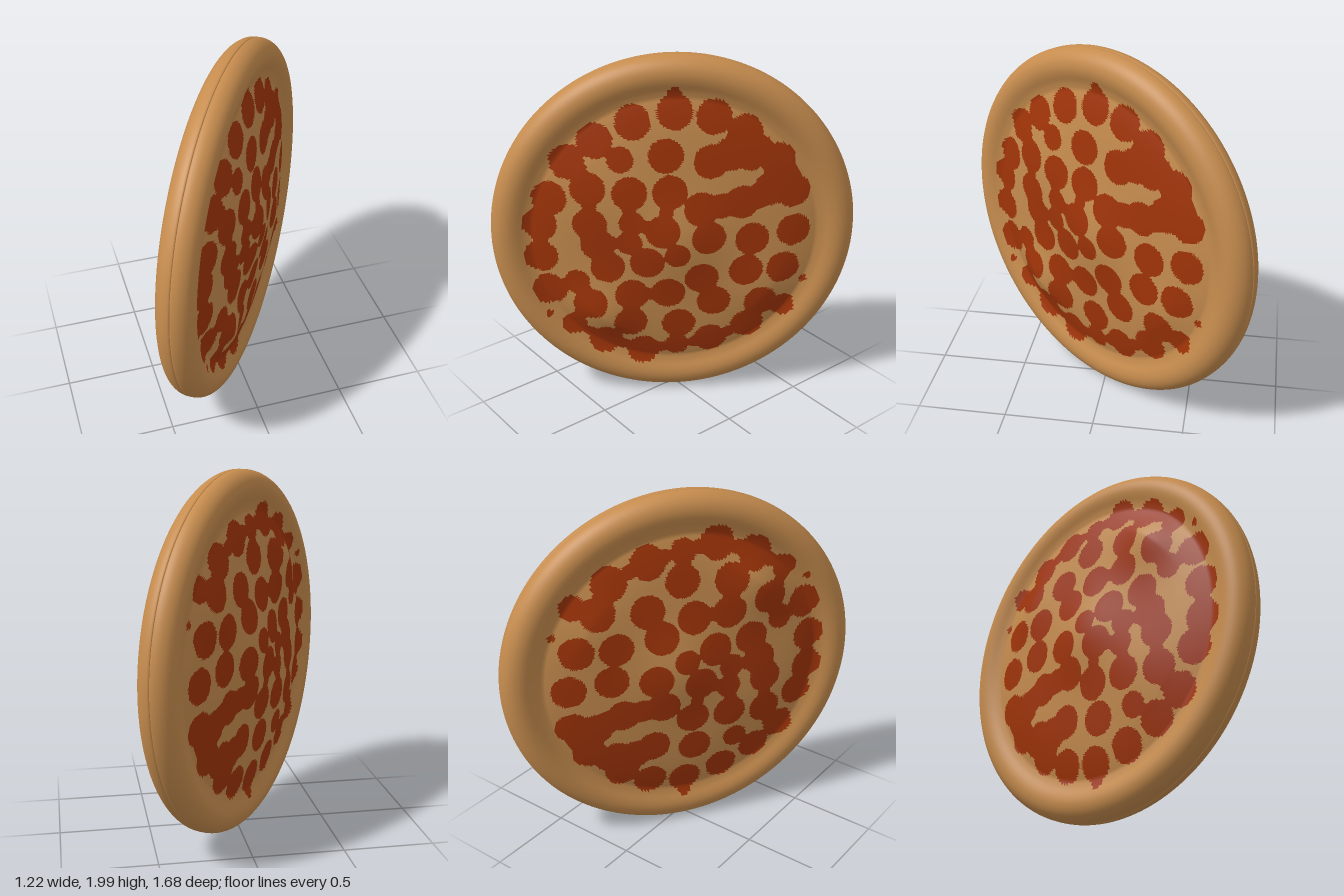
import * as THREE from 'three';

const SEGMENTS = 260, ROWS = 76, FLAT_RADIUS = 0.78;

// Pepperoni slice centres on the disc, large and small
const LARGE = [
  [0, .71], [.205, .68], [-.22, .66], [-.42, .565], [-.57, .45], [-.05, .48], [.37, .59], [.19, .44],
  [.55, .43], [.64, .25], [.14, .18], [.36, .205], [.51, .27], [-.03, .28], [-.245, .28], [-.465, .305],
  [-.67, .245], [-.73, .09], [-.46, .1], [-.07, .06], [.18, .01], [.42, -.015], [.65, .02], [-.42, -.02],
  [-.73, -.1], [-.155, -.13], [-.37, -.16], [.145, -.24], [.39, -.205], [.6, -.205], [-.69, -.305],
  [-.47, -.385], [-.24, -.335], [-.04, -.33], [.215, -.395], [.48, -.415], [-.25, -.515], [.02, -.54],
  [.41, -.57], [-.39, -.64], [-.18, -.72], [.2, -.66], [.3, .48],
];
const SMALL = [
  [-.29, .465], [-.235, .11], [-.25, -.01], [.01, -.085], [-.54, -.25], [.61, -.46], [-.56, -.535],
  [.01, -.695], [.25, .19], [.44, .23], [.45, .5], [.6, .34], [.4, .45],
];
// Melted bridges between slices
const BRIDGES = [
  [-.5, .41], [-.46, .2], [-.45, .04], [-.25, .19], [-.34, -.01], [-.05, .17], [-.72, .17],
  [-.73, 0], [-.14, -.335], [-.25, -.43], [-.61, -.28], [-.5, -.31], [-.53, -.46], [-.48, -.59],
  [-.29, -.68], [-.08, -.71], [.11, -.68], [.45, -.49], [.3, -.62], [.18, -.32], [0, .8], [-.16, .09],
];
const CRUMBS = [[0, .83], [-.7, -.46], [.72, -.3]];
const SLICES = [[LARGE, .094], [SMALL, .07], [BRIDGES, .038], [CRUMBS, .02]];

// Soft bumps of the topping: x, y, height, width
const BUMPS = [[.02, -.02, .05, .26], [-.45, -.5, .045, .2], [-.3, .25, .02, .25], [.5, -.34, .015, .2]];

// Neighbouring slices melt together
function isPepperoni(x, y) {
  let sum = 0;
  for (const [centres, r] of SLICES)
    for (const [cx, cy] of centres)
      sum += Math.exp(-5.5 * (((x - cx) ** 2 + (y - cy) ** 2) / (r * r) - 1));
  return sum > 1;
}

// Domed topping height
function toppingHeight(x, y) {
  const r = Math.hypot(x, y);
  let h = 0.069 + 0.055 * (1 - (r / FLAT_RADIUS) ** 4);
  const fade = Math.min(1, (FLAT_RADIUS - r) / 0.15);
  for (const [cx, cy, height, width] of BUMPS)
    h += fade * height * Math.exp(-((x - cx) ** 2 + (y - cy) ** 2) / (width * width));
  return h;
}

// One face of the pizza: topping disc and rounded crust down to the seam
function halfGeometry() {
  const crust = new THREE.SplineCurve(
    [[.78, .069], [.82, .077], [.86, .093], [.9, .1], [.94, .092], [.972, .07], [.992, .038], [.997, .006], [.99, 0]]
      .map(([r, h]) => new THREE.Vector2(r, h))).getPoints(20).slice(1);
  const positions = [0, 0, toppingHeight(0, 0)];
  const rows = [];
  for (let i = 1; i <= ROWS; i++) rows.push({ r: FLAT_RADIUS * i / ROWS });
  for (const p of crust) rows.push({ r: p.x, h: p.y });
  for (const { r, h } of rows)
    for (let j = 0; j < SEGMENTS; j++) {
      const a = j / SEGMENTS * Math.PI * 2, x = r * Math.cos(a), y = r * Math.sin(a);
      positions.push(x, y, h === undefined ? toppingHeight(x, y) : h);
    }

  const faces = [[], []];
  const addFace = (...corners) => {
    let x = 0, y = 0;
    for (const c of corners) { x += positions[c * 3] / 3; y += positions[c * 3 + 1] / 3; }
    faces[Math.hypot(x, y) < 0.87 && isPepperoni(x, y) ? 1 : 0].push(...corners);
  };
  for (let j = 0; j < SEGMENTS; j++) {
    const k = (j + 1) % SEGMENTS;
    addFace(0, 1 + j, 1 + k);
    for (let i = 0; i < rows.length - 1; i++) {
      const a = 1 + i * SEGMENTS, b = a + SEGMENTS;
      addFace(a + j, b + j, b + k);
      addFace(a + j, b + k, a + k);
    }
  }
  const geometry = new THREE.BufferGeometry();
  geometry.setAttribute('position', new THREE.Float32BufferAttribute(positions, 3));
  geometry.setIndex(faces[0].concat(faces[1]));
  geometry.addGroup(0, faces[0].length, 0);
  geometry.addGroup(faces[0].length, faces[1].length, 1);
  geometry.computeVertexNormals();
  return geometry;
}

export function createModel() {
  const dough = new THREE.MeshStandardMaterial({ color: 0xc68c4e });
  dough.name = 'baked dough';
  const pepperoni = new THREE.MeshStandardMaterial({ color: 0xa03408 });
  pepperoni.name = 'pepperoni red';

  const geometry = halfGeometry();
  const front = new THREE.Mesh(geometry, [dough, pepperoni]);
  front.name = 'frontPizzaFace';
  // Same face turned over for the back
  const back = new THREE.Mesh(geometry, [dough, pepperoni]);
  back.name = 'backPizzaFace';
  back.rotation.x = Math.PI;

  // Standing on edge and turned aside
  const pizza = new THREE.Group();
  pizza.name = 'pizza';
  pizza.add(front, back);
  pizza.rotation.y = 0.97;
  pizza.position.y = 1;

  const model = new THREE.Group();
  model.name = 'standingPizza';
  model.add(pizza);
  return model;
}
